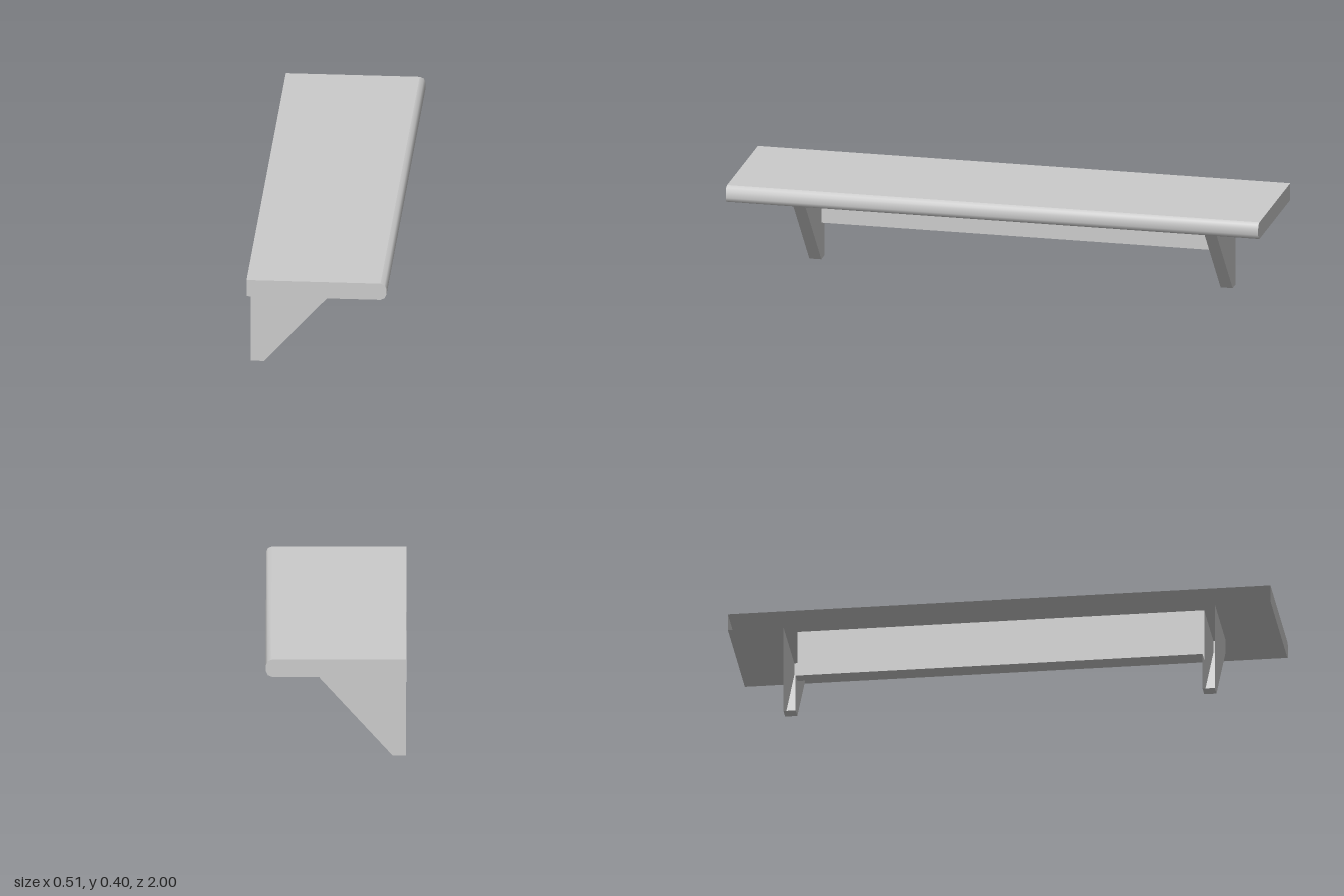
import * as THREE from 'three';

// Key dimensions
const BACK = -0.257, TOP = 0.402, UNDER = 0.338, END = 1;
const RAIL_X = -0.21, RAIL_Y = 0.14;            // rail front and lower edge
const IN = 0.75, OUT = 0.795, ARM = 0.058;      // bracket sides and reach

const material = new THREE.MeshStandardMaterial({ color: 0xcccccc, side: THREE.DoubleSide });

function named(name, geometry) {
  const mesh = new THREE.Mesh(geometry, material);
  mesh.name = name;
  return mesh;
}

// Flat panel from an outline, facing +z (or -z when flipped)
function panel(points, z = 0, flip = false) {
  const g = new THREE.ShapeGeometry(new THREE.Shape(points.map(p => new THREE.Vector2(...p))));
  if (flip) {
    g.index.array.reverse();
    g.computeVertexNormals();
  }
  return g.translate(0, 0, z);
}

// Open profile (counter-clockwise in xy) swept from z0 to z1
function strip(profile, z0, z1, smooth = false) {
  const pos = [], index = [];
  for (const [x, y] of profile) pos.push(x, y, z0, x, y, z1);
  for (let i = 0; i < profile.length - 1; i++) {
    const a = 2 * i;
    index.push(a, a + 2, a + 1, a + 1, a + 2, a + 3);
  }
  let g = new THREE.BufferGeometry();
  g.setAttribute('position', new THREE.Float32BufferAttribute(pos, 3));
  g.setIndex(index);
  if (!smooth) g = g.toNonIndexed();
  g.computeVertexNormals();
  return g;
}

export function createModel() {
  const model = new THREE.Group();
  model.name = 'wallShelf';

  // Shelf board, a shell left open along the wall side
  const nose = [[0.235, UNDER], [0.25, 0.344], [0.257, 0.359],
    [0.257, 0.381], [0.25, 0.396], [0.235, TOP]];
  const board = new THREE.Group();
  board.name = 'shelfBoard';
  board.add(named('boardTop', strip([[0.235, TOP], [BACK, TOP]], -END, END)));
  board.add(named('roundedFrontEdge', strip(nose, -END, END, true)));

  // Underside, cut away where the hollow brackets and rail join it
  const cut = [[BACK, OUT], [ARM, OUT], [ARM, IN], [RAIL_X, IN]];
  const underside = panel([
    [BACK, -END], [0.235, -END], [0.235, END], [BACK, END],
    ...cut, ...cut.map(([x, z]) => [x, -z]).reverse(),
  ]).rotateX(Math.PI / 2).translate(0, UNDER, 0);
  board.add(named('boardUnderside', underside));
  model.add(board);

  // Rail between the brackets, also open at the wall
  model.add(named('rail', strip([[BACK, RAIL_Y], [RAIL_X, RAIL_Y], [RAIL_X, UNDER]], -IN, IN)));

  // Board end cap and bracket, mirrored to both ends
  const slope = [[BACK, 0], [-0.208, 0], [ARM, 0.29], [ARM, UNDER]];
  for (const s of [1, -1]) {
    const end = new THREE.Group();
    end.name = s > 0 ? 'frontEnd' : 'backEnd';
    end.add(named('boardEnd', panel([[BACK, UNDER], ...nose, [BACK, TOP]], END)));
    end.add(named('bracketOuterSide', panel([...slope, [BACK, UNDER]], OUT)));
    end.add(named('bracketInnerSide',
      panel([...slope, [RAIL_X, UNDER], [RAIL_X, RAIL_Y], [BACK, RAIL_Y]], IN, true)));
    end.add(named('bracketEdge', strip(slope, IN, OUT)));
    end.scale.z = s;
    model.add(end);
  }
  return model;
}
